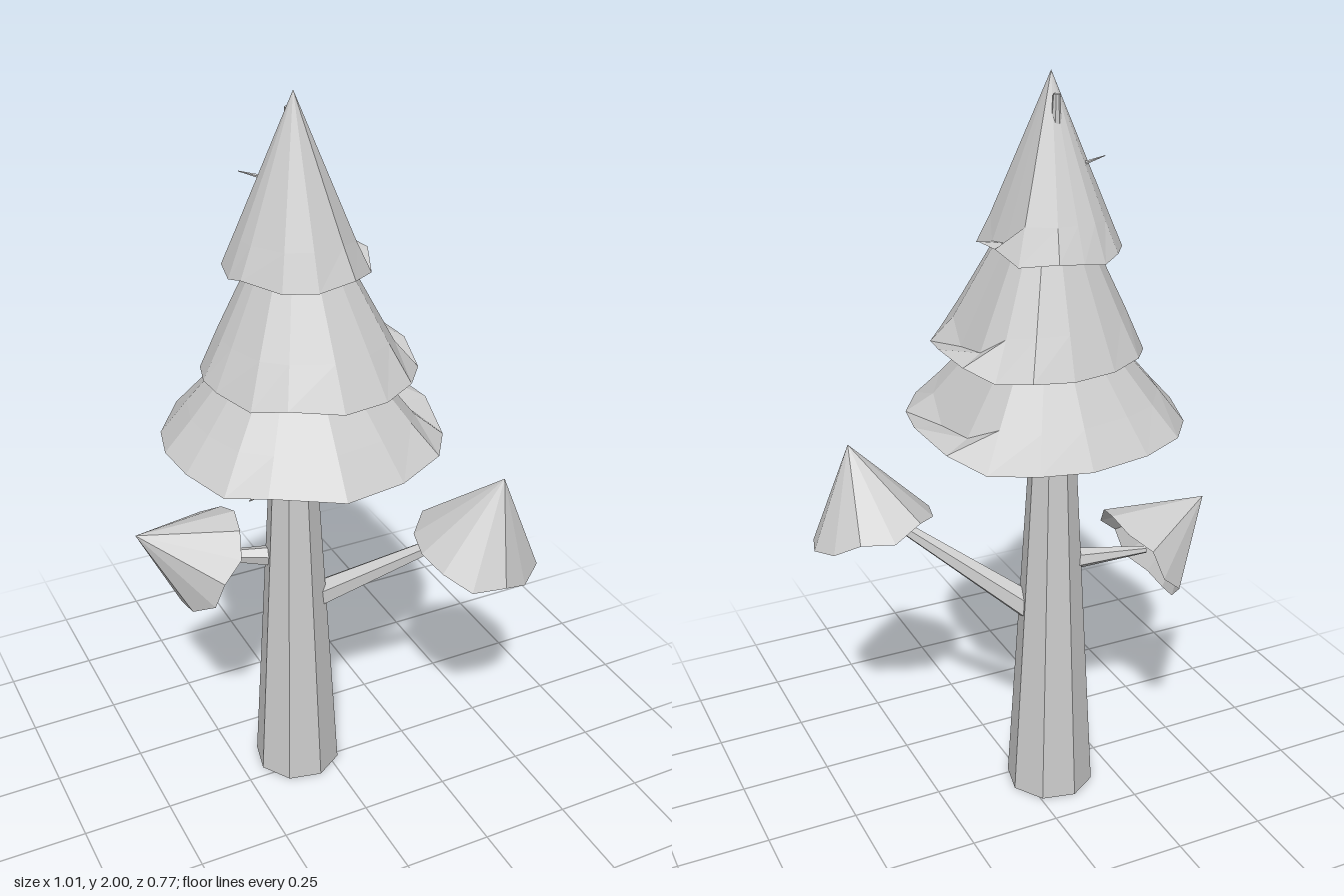
import * as THREE from 'three';

const V = (x, y, z) => new THREE.Vector3(x, y, z);
const bark = new THREE.MeshStandardMaterial({ color: 0xcccccc, flatShading: true });
const leaf = new THREE.MeshStandardMaterial({ color: 0xcccccc, flatShading: true, side: THREE.DoubleSide });

function add(group, name, geometry, material) {
  const mesh = new THREE.Mesh(geometry, material);
  mesh.name = name;
  group.add(mesh);
  return mesh;
}

// Place a y-aligned geometry so that it runs from a to b
function between(mesh, a, b) {
  mesh.position.copy(a).add(b).multiplyScalar(0.5);
  mesh.quaternion.setFromUnitVectors(V(0, 1, 0), b.clone().sub(a).normalize());
}

function limb(group, name, a, b, r0, r1, sides) {
  between(add(group, name, new THREE.CylinderGeometry(r1, r0, a.distanceTo(b), sides), bark), a, b);
}

// Hollow cone on the end of a branch, with a slightly uneven rim
function tuft(group, name, centre, apex, radius) {
  const h = centre.distanceTo(apex);
  const geo = new THREE.ConeGeometry(radius, h, 12, 1, true);
  const p = geo.attributes.position;
  for (let i = 0; i < p.count; i++) {
    if (p.getY(i) > 0) continue;
    const a = Math.atan2(p.getZ(i), p.getX(i));
    const k = 1 + 0.03 * Math.sin(3 * a + 1);
    p.setXYZ(i, p.getX(i) * k, p.getY(i) + 0.012 * Math.sin(5 * a), p.getZ(i) * k);
  }
  between(add(group, name, geo, leaf), centre, apex);
}

// Hollow tier: apex, inner ring and a rim that curls up on the +x side
function tier(group, name, apex, rimY, outline) {
  const n = outline.length, pos = [];
  const rings = [0.8, 1].map((t) => outline.map(([x, z], i) => {
    const dx = x - apex.x, dz = z - apex.z;
    const side = Math.max(0, dx / Math.hypot(dx, dz) - 0.75) * 4;
    const wave = 0.008 * Math.sin(i * 2.3);
    const y = t < 1 ? apex.y + (rimY - apex.y) * (t + 0.15 * side) : rimY + wave + 0.025 * side;
    return V(apex.x + dx * t, y, apex.z + dz * t);
  }));
  const tri = (...pts) => pts.forEach((q) => pos.push(q.x, q.y, q.z));
  for (let i = 0; i < n; i++) {
    const j = (i + 1) % n, [a, b] = rings;
    tri(apex, a[j], a[i]);
    tri(a[i], a[j], b[j]);
    tri(a[i], b[j], b[i]);
  }
  const geo = new THREE.BufferGeometry();
  geo.setAttribute('position', new THREE.Float32BufferAttribute(pos, 3));
  geo.computeVertexNormals();
  add(group, name, geo, leaf);
}

export function createModel() {
  const tree = new THREE.Group();
  tree.name = 'tree';

  // Tapered trunk running up through the foliage
  const trunk = add(tree, 'trunk',
    new THREE.CylinderGeometry(0.009, 0.122, 1.95, 8, 1, false, THREE.MathUtils.degToRad(10)), bark);
  trunk.position.set(-0.075, 0.975, -0.055);

  // Branches and twigs
  limb(tree, 'leftBranch', V(-0.05, 0.54, -0.06), V(0.34, 0.83, 0.21), 0.042, 0.012, 6);
  limb(tree, 'rightBranch', V(-0.08, 0.7, -0.06), V(-0.32, 0.72, -0.14), 0.035, 0.01, 6);
  limb(tree, 'lowerTwig', V(-0.07, 0.97, -0.05), V(-0.25, 0.985, 0.06), 0.024, 0.002, 5);
  limb(tree, 'upperTwig', V(-0.07, 1.76, -0.06), V(-0.19, 1.8, -0.092), 0.01, 0.001, 5);

  // Foliage on the branch ends
  tuft(tree, 'leftTuft', V(0.335, 0.765, 0.215), V(0.38, 1.0, 0.27), 0.172);
  tuft(tree, 'rightTuft', V(-0.3, 0.71, -0.135), V(-0.5, 0.84, -0.13), 0.15);

  // Crown tiers, outlines as [x, z] going round
  tier(tree, 'lowerTier', V(-0.07, 1.53, -0.03), 1.11, [
    [-0.02, -0.385], [0.115, -0.365], [0.215, -0.28], [0.28, -0.185], [0.29, 0], [0.25, 0.165],
    [0.18, 0.27], [0.045, 0.335], [-0.12, 0.36], [-0.29, 0.275], [-0.375, 0.205], [-0.42, 0.07],
    [-0.43, -0.05], [-0.395, -0.18], [-0.305, -0.3], [-0.185, -0.355]]);
  tier(tree, 'middleTier', V(-0.075, 1.82, -0.02), 1.305, [
    [-0.02, -0.28], [0.085, -0.265], [0.155, -0.2], [0.21, -0.13], [0.215, 0.01], [0.185, 0.14],
    [0.12, 0.225], [0.03, 0.27], [-0.09, 0.285], [-0.215, 0.23], [-0.285, 0.17], [-0.325, 0.05],
    [-0.33, -0.02], [-0.3, -0.12], [-0.235, -0.21], [-0.14, -0.26]]);
  tier(tree, 'upperTier', V(-0.08, 2.0, -0.015), 1.57, [
    [-0.08, -0.205], [-0.015, -0.2], [0.065, -0.14], [0.095, -0.07], [0.105, 0.01], [0.07, 0.1],
    [0, 0.155], [-0.1, 0.165], [-0.18, 0.13], [-0.245, 0.035], [-0.255, -0.02], [-0.24, -0.1],
    [-0.19, -0.17], [-0.14, -0.2]]);

  return tree;
}
